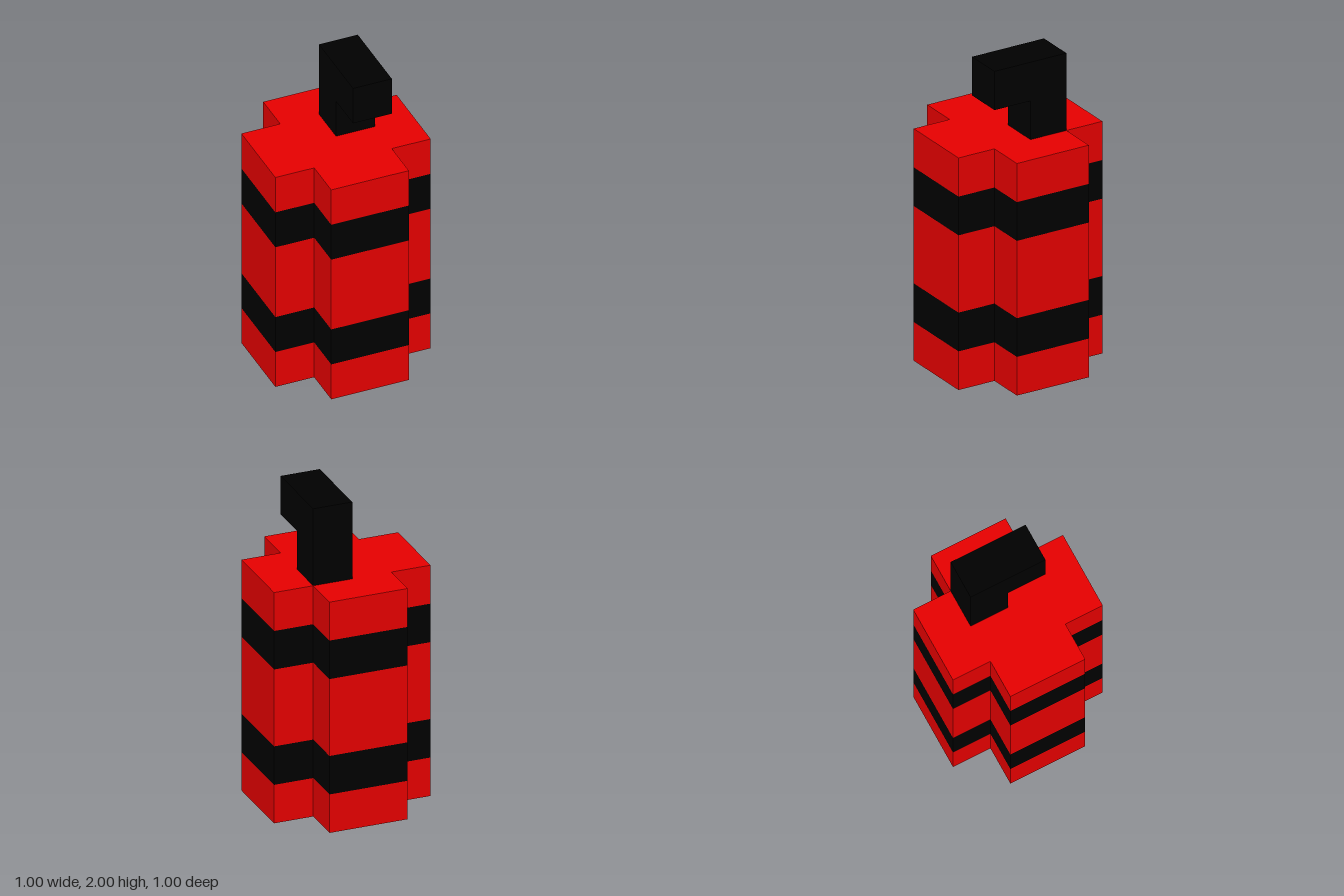
import * as THREE from 'three';

const toShape = (points) => new THREE.Shape(points.map(([x, y]) => new THREE.Vector2(x, y)));
const extrude = (shape, depth) => new THREE.ExtrudeGeometry(shape, { depth, bevelEnabled: false });

export function createModel() {
  const red = new THREE.MeshStandardMaterial({ name: 'red', color: 0xe60000 });
  const black = new THREE.MeshStandardMaterial({ name: 'black', color: 0x000000 });

  const model = new THREE.Group();
  model.name = 'blockyCanister';

  const add = (name, geometry, material) => {
    const mesh = new THREE.Mesh(geometry, material);
    mesh.name = name;
    model.add(mesh);
  };

  // Body: stacked layers sharing one plus-shaped outline
  const a = 0.25, b = 0.5;
  const plus = toShape([
    [a, -b], [a, -a], [b, -a], [b, a], [a, a], [a, b],
    [-a, b], [-a, a], [-b, a], [-b, -a], [-a, -a], [-a, -b],
  ]);
  const layers = [
    ['bodyBottom', 0, 0.25, red],
    ['lowerBand', 0.25, 0.5, black],
    ['bodyMiddle', 0.5, 1, red],
    ['upperBand', 1, 1.25, black],
    ['bodyTop', 1.25, 1.5, red],
  ];
  for (const [name, y0, y1, material] of layers) {
    add(name, extrude(plus, y1 - y0).rotateX(-Math.PI / 2).translate(0, y0, 0), material);
  }

  // Fuse: L-shaped hook, drawn in (z, y), reaching toward the front
  const hook = toShape([[-0.25, 1.5], [0, 1.5], [0, 1.75], [0.25, 1.75], [0.25, 2], [-0.25, 2]]);
  add('fuse', extrude(hook, 0.25).rotateY(-Math.PI / 2).translate(0.25, 0, 0), black);

  return model;
}
